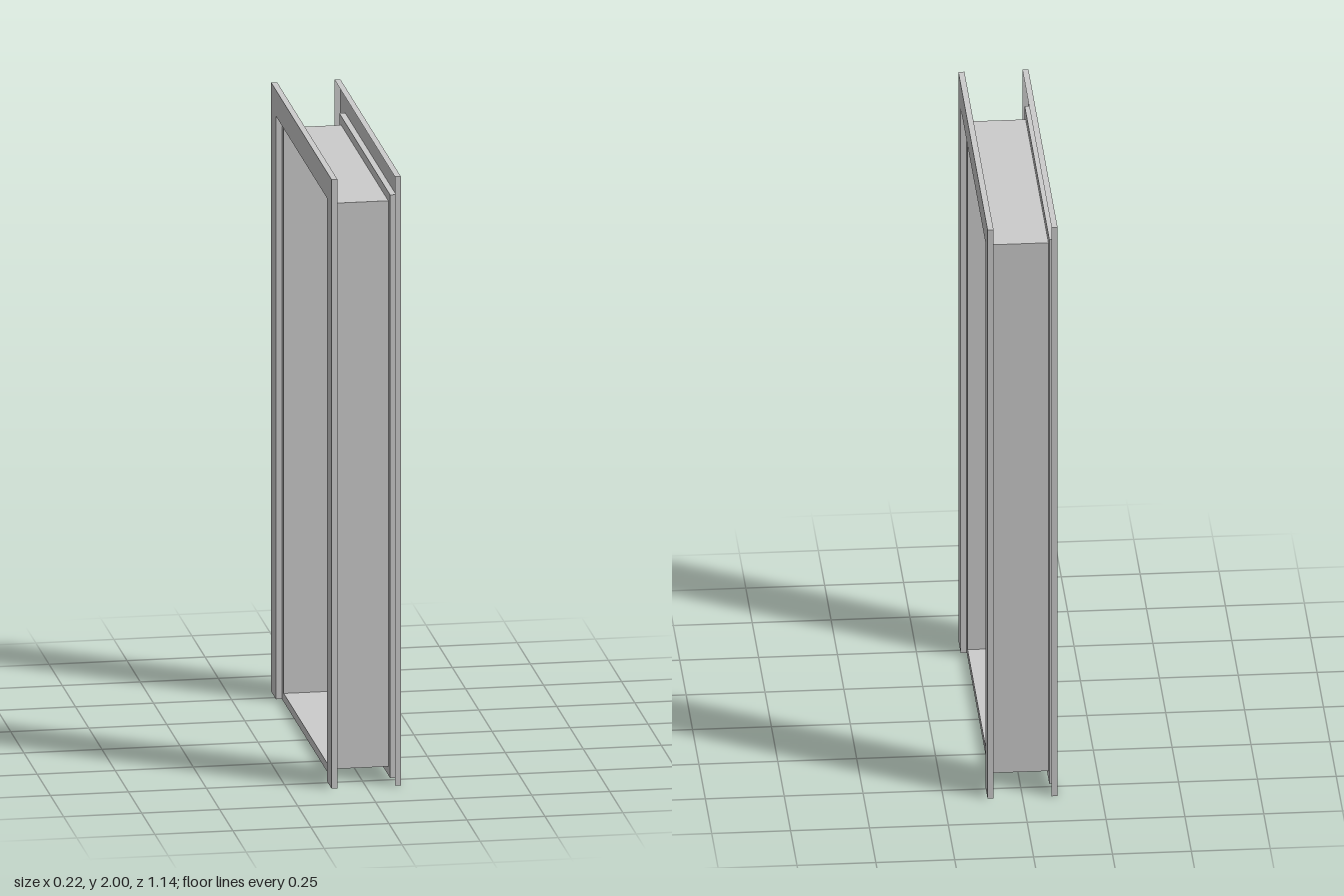
import * as THREE from 'three';

const material = new THREE.MeshStandardMaterial({ color: 0xcccccc, flatShading: true, side: THREE.DoubleSide });

// Outline of the doorway at one x: up one leg, across the head, down the other.
// A closed outline also runs back along the sill.
function outline(x, halfWidth, top, bottom, closed) {
  const points = [[x, bottom, halfWidth], [x, top, halfWidth], [x, top, -halfWidth], [x, bottom, -halfWidth]];
  if (closed) points.push(points[0]);
  return points;
}

// Folded sheet metal: flat panels joining two matching outlines.
function sheet(name, a, b) {
  const positions = [];
  for (let i = 0; i < a.length - 1; i++) {
    positions.push(...a[i], ...b[i], ...b[i + 1], ...a[i], ...b[i + 1], ...a[i + 1]);
  }
  const geometry = new THREE.BufferGeometry();
  geometry.setAttribute('position', new THREE.Float32BufferAttribute(positions, 3));
  geometry.computeVertexNormals();
  const mesh = new THREE.Mesh(geometry, material);
  mesh.name = name;
  return mesh;
}

export function createModel() {
  const group = new THREE.Group();
  group.name = 'doorFrame';

  const xIn = 0.092, xOut = 0.111;              // wall side and room side of the casing
  const jamb = (x) => outline(x, 0.445, 1.886, 0.028, true);
  const inner = (x, closed) => outline(x, 0.48, 1.915, 0, closed);
  const outer = (x) => outline(x, 0.57, 2, 0, false);

  // Lining through the wall: two jambs, head and sill
  group.add(sheet('lining', jamb(-xIn), jamb(xIn)));

  // Casing on each wall face, open towards the wall
  for (const [name, s] of [['leftCasing', 1], ['rightCasing', -1]]) {
    const casing = new THREE.Group();
    casing.name = name;
    casing.add(
      sheet('rebate', jamb(s * xIn), inner(s * xIn, true)),
      sheet('innerReturn', inner(s * xIn, false), inner(s * xOut, false)),
      sheet('face', inner(s * xOut, false), outer(s * xOut)),
      sheet('outerReturn', outer(s * xOut), outer(s * xIn)),
    );
    group.add(casing);
  }
  return group;
}
